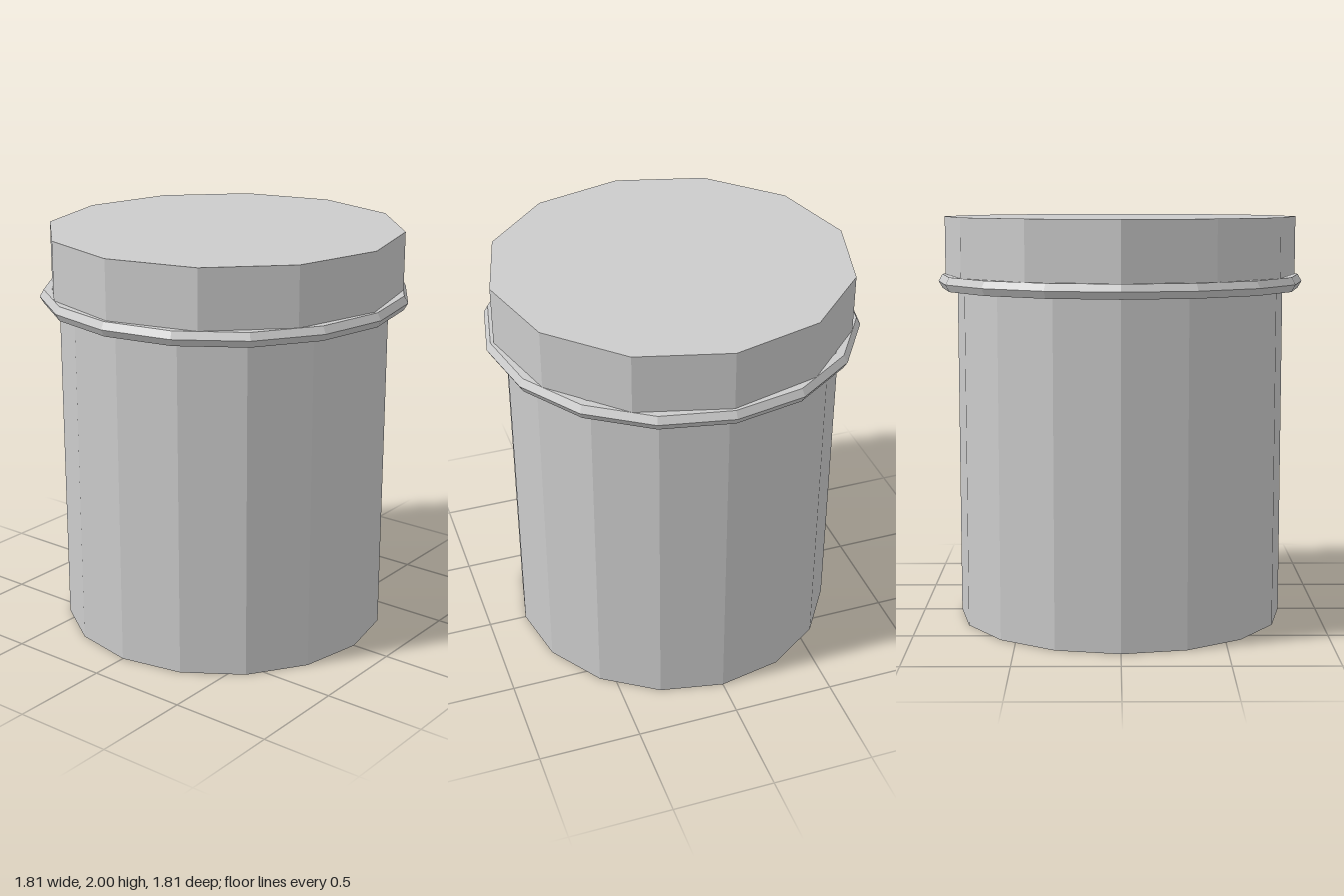
import * as THREE from 'three';

const material = new THREE.MeshStandardMaterial({ color: 0xcccccc, flatShading: true });

function addPart(group, name, geometry, y) {
  const mesh = new THREE.Mesh(geometry, material);
  mesh.name = name;
  mesh.position.y = y;
  group.add(mesh);
  return mesh;
}

// Closed cylinder standing between two heights
function addDrum(group, name, radius, bottom, top, sides) {
  const geometry = new THREE.CylinderGeometry(radius, radius, top - bottom, sides);
  return addPart(group, name, geometry, (bottom + top) / 2);
}

export function createModel() {
  const model = new THREE.Group();
  model.name = 'canister';

  // Sixteen-sided container
  addDrum(model, 'body', 0.81, 0, 1.71, 16);

  // Twelve-sided cap, its lower edge sunk into the ring
  addDrum(model, 'lid', 0.87, 1.7, 2, 12);

  // Hexagonal-section collar around the neck
  const ring = addPart(model, 'neckRing', new THREE.TorusGeometry(0.865, 0.04, 6, 16), 1.68);
  ring.rotation.x = Math.PI / 2;

  return model;
}
